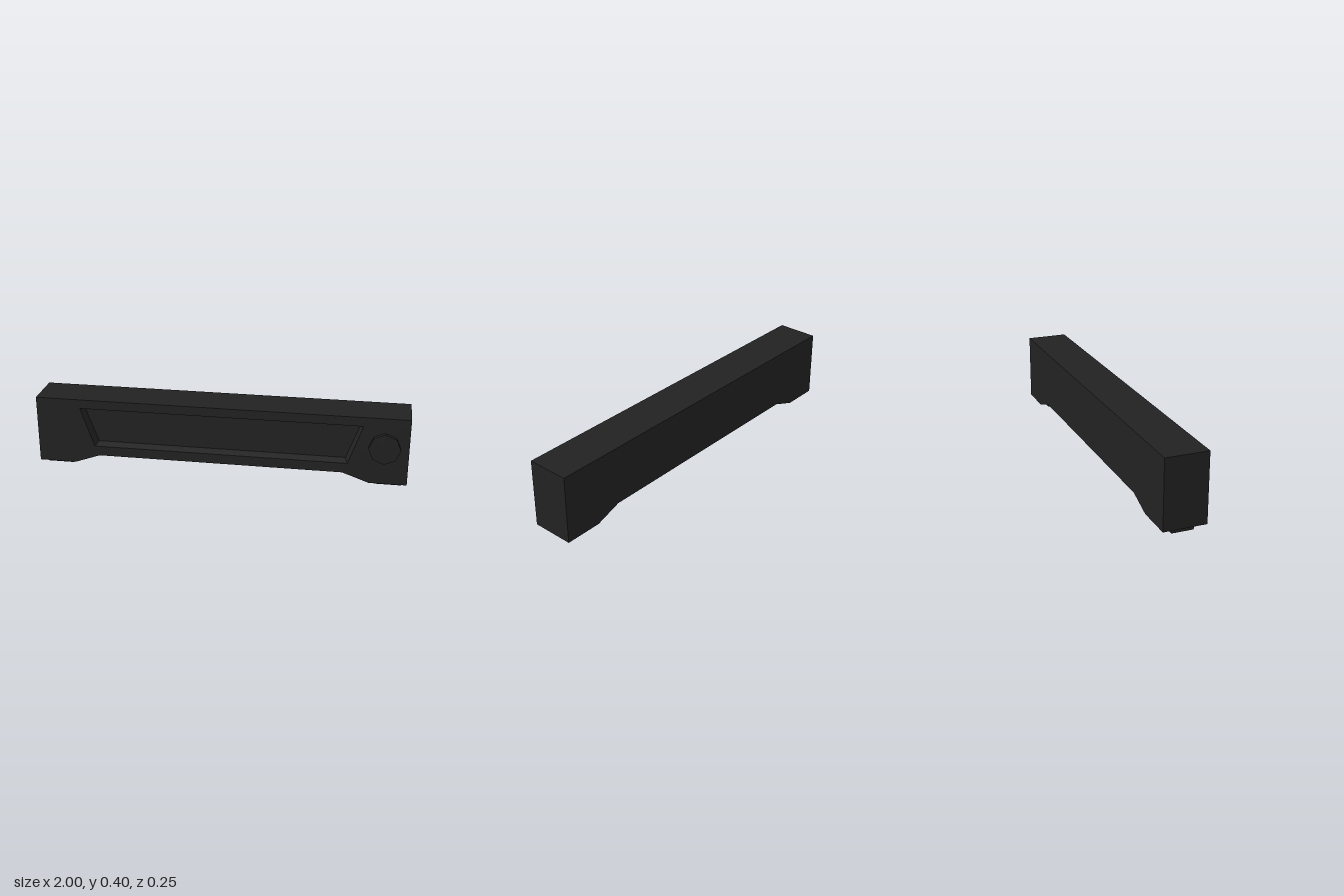
import * as THREE from 'three';

const BACK = -0.124, FRONT = 0.103, RECESS = 0.045;

// Mirror right-hand points (listed bottom to top) into a closed symmetric outline
const mirrored = (half) => [
  ...half,
  ...half.slice().reverse().map(([x, y]) => [-x, y]),
].map(([x, y]) => new THREE.Vector2(x, y));

export function createModel() {
  const model = new THREE.Group();
  const charcoal = new THREE.MeshStandardMaterial({ color: 0x222222 });
  charcoal.name = 'charcoal';

  const add = (name, geometry, x = 0, y = 0, z = 0) => {
    const mesh = new THREE.Mesh(geometry, charcoal);
    mesh.name = name;
    mesh.position.set(x, y, z);
    model.add(mesh);
  };

  const outline = mirrored([[0.66, 0.08], [0.8, 0.03], [1, 0.03], [1, 0.4]]);
  const rim = mirrored([[0.685, 0.134], [0.758, 0.35]]);
  const floor = mirrored([[0.672, 0.147], [0.743, 0.341]]);

  // Main body behind the recess floor
  add('body', new THREE.ExtrudeGeometry(new THREE.Shape(outline), {
    depth: FRONT - RECESS - BACK, bevelEnabled: false,
  }), 0, 0, BACK);

  // Front panel with a trapezoid opening whose walls slope inward
  const frontShape = new THREE.Shape(outline);
  frontShape.holes.push(new THREE.Path(rim));
  const front = new THREE.ExtrudeGeometry(frontShape, { depth: RECESS, bevelEnabled: false });
  const pos = front.attributes.position;
  for (let i = 0; i < pos.count; i++) {
    if (pos.getZ(i) > 1e-4) continue;
    const k = rim.findIndex((p) => Math.hypot(p.x - pos.getX(i), p.y - pos.getY(i)) < 1e-4);
    if (k >= 0) pos.setXY(i, floor[k].x, floor[k].y);
  }
  front.computeVertexNormals();
  add('frontPanel', front, 0, 0, FRONT - RECESS);

  // Eight-sided knob
  const knob = new THREE.CylinderGeometry(0.084, 0.084, 0.032, 8).toNonIndexed();
  knob.rotateX(Math.PI / 2);
  knob.computeVertexNormals();
  add('knob', knob, 0.873, 0.235, FRONT + 0.006);

  // Feet
  for (const [name, side] of [['leftFoot', 1], ['rightFoot', -1]]) {
    add(name, new THREE.BoxGeometry(0.145, 0.034, 0.114), side * 0.9, 0.017, -0.01);
  }
  return model;
}
